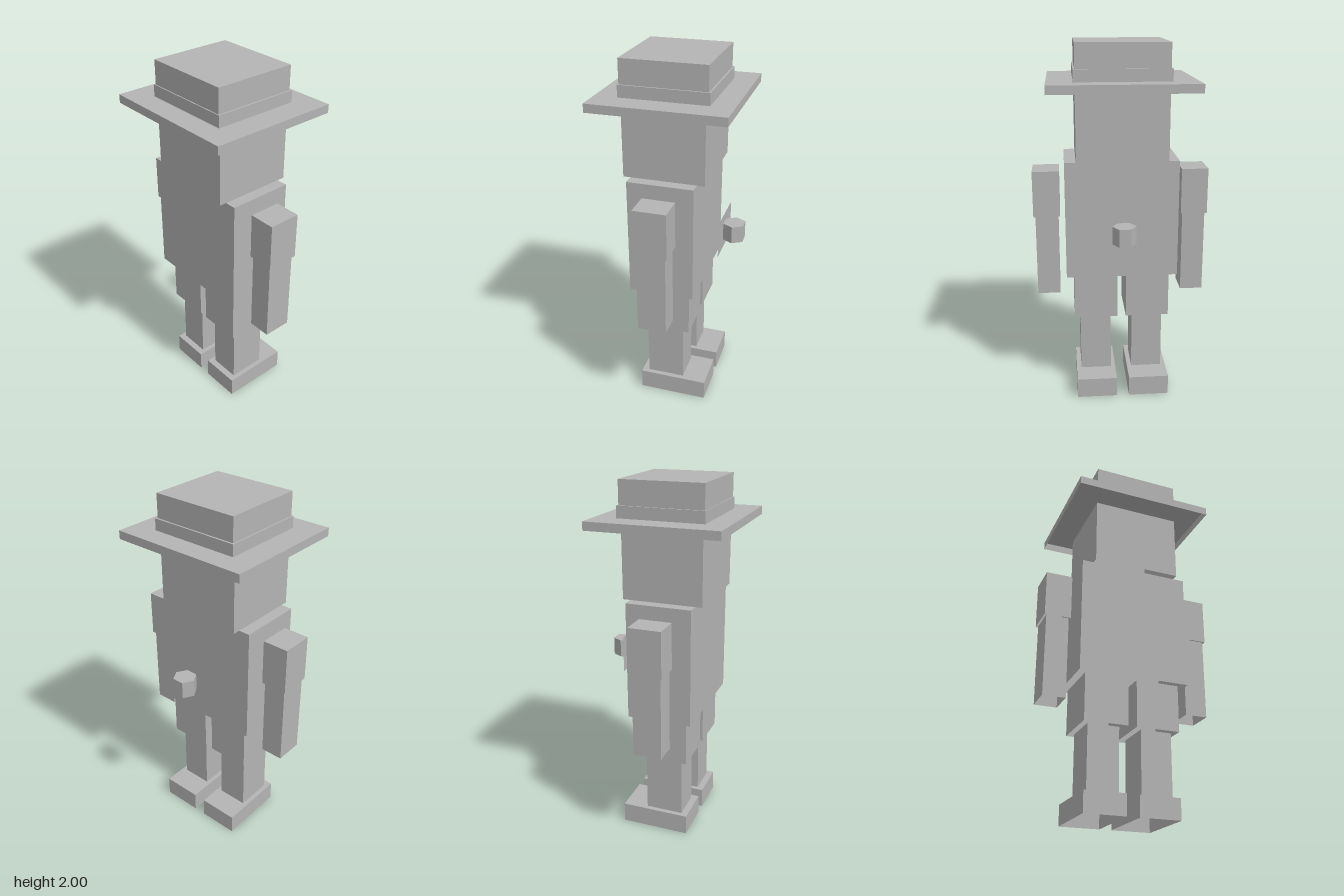
import * as THREE from 'three';

export function createModel() {
  const model = new THREE.Group();
  model.name = 'blockFigure';
  const grey = new THREE.MeshStandardMaterial({ color: 0xb4b4b4, side: THREE.DoubleSide });
  grey.name = 'plain grey';

  const add = (name, geometry, x, y, z) => {
    const mesh = new THREE.Mesh(geometry, grey);
    mesh.name = name;
    mesh.position.set(x, y, z);
    model.add(mesh);
    return mesh;
  };

  // Box without its bottom face, given by its limits
  const openBox = (name, x0, x1, y0, y1, z0, z1) => {
    const g = new THREE.BoxGeometry(x1 - x0, y1 - y0, z1 - z0);
    const index = Array.from(g.index.array);
    index.splice(18, 6); // faces run +x, -x, +y, -y, +z, -z
    g.setIndex(index);
    g.clearGroups();
    add(name, g, (x0 + x1) / 2, (y0 + y1) / 2, (z0 + z1) / 2);
  };

  // Flat panel facing -z
  const panel = (name, w, h, x, y, z) => {
    add(name, new THREE.PlaneGeometry(w, h).rotateY(Math.PI), x, y, z);
  };

  // Hat, head and torso
  openBox('hatCrown', -0.247, 0.244, 1.87, 2, -0.218, 0.241);
  openBox('hatBand', -0.256, 0.253, 1.806, 1.87, -0.228, 0.247);
  openBox('hatBrim', -0.394, 0.392, 1.76, 1.806, -0.35, 0.37);
  openBox('head', -0.248, 0.245, 1.38, 1.76, -0.207, 0.235);
  openBox('torso', -0.312, 0.308, 0.726, 1.38, -0.165, 0.196);

  // Limbs, mirrored about the body's middle
  const mid = -0.002;
  const limbs = [
    ['UpperArm', 0.338, 0.486, 1.056, 1.313, -0.077, 0.103],
    ['Forearm', 0.348, 0.475, 0.594, 1.056, -0.065, 0.094],
    ['Thigh', 0.024, 0.268, 0.465, 0.726, -0.133, 0.16],
    ['Shin', 0.061, 0.236, 0.114, 0.465, -0.09, 0.122],
    ['Shoe', 0.035, 0.263, 0, 0.114, -0.228, 0.16],
  ];
  for (const [name, a, b, ...rest] of limbs) {
    openBox('left' + name, mid + a, mid + b, ...rest);
    openBox('right' + name, mid - b, mid - a, ...rest);
  }

  // Eyes
  panel('leftEye', 0.077, 0.096, 0.114, 1.588, -0.226);
  panel('rightEye', 0.077, 0.096, -0.114, 1.588, -0.226);

  // Patches on the chest
  const patches = [[0.197, 1.275], [-0.161, 1.21], [0.132, 1.08], [-0.066, 0.885]];
  patches.forEach(([x, y], i) => panel('patch' + (i + 1), 0.078, 0.076, x, y, -0.186));

  // Plate with a six-sided knob, open underneath
  panel('plate', 0.293, 0.202, 0, 1.02, -0.261);
  const hex = [0, 1, 2, 3, 4, 5].map((i) => {
    const a = (i * Math.PI) / 3;
    return new THREE.Vector2(Math.cos(a) * 0.064, Math.sin(a) * 0.064);
  });
  const top = new THREE.ShapeGeometry(new THREE.Shape(hex)).rotateX(-Math.PI / 2);
  add('knobTop', top, 0, 1.069, -0.316);
  const sides = new THREE.CylinderGeometry(0.064, 0.064, 0.098, 6, 1, true);
  sides.rotateY(Math.PI / 6);
  const flatSides = sides.toNonIndexed();
  flatSides.computeVertexNormals();
  add('knobSides', flatSides, 0, 1.02, -0.316);

  return model;
}
